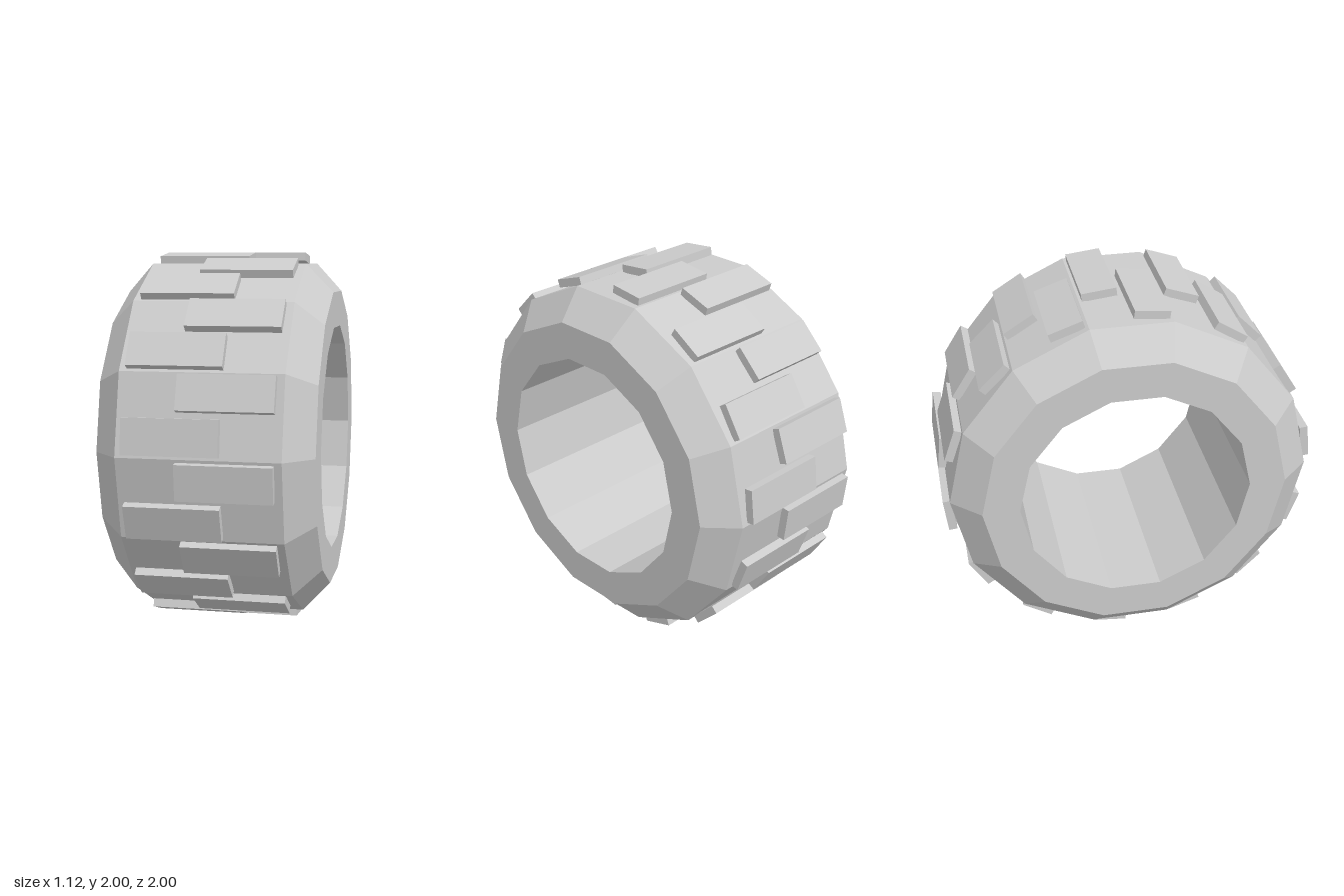
import * as THREE from 'three';

export function createModel() {
  const model = new THREE.Group();
  model.name = 'tyre';
  const rubber = new THREE.MeshStandardMaterial({ color: 0xcccccc, flatShading: true });

  // Ring with chamfered shoulders: closed [radius, width] profile, 14 sides, axle along x
  const profile = [
    [0.615, -0.558], [0.81, -0.558], [0.964, -0.416], [0.964, 0.416],
    [0.81, 0.558], [0.615, 0.558], [0.615, -0.558],
  ].map(([r, w]) => new THREE.Vector2(r, w));
  const ring = new THREE.Mesh(new THREE.LatheGeometry(profile, 14), rubber);
  ring.name = 'tyreRing';
  ring.rotation.z = -Math.PI / 2;
  ring.position.y = 1;
  model.add(ring);

  // Tread blocks, staggered left and right around the rim
  const treads = new THREE.Group();
  treads.name = 'treads';
  treads.position.y = 1;
  const count = 28, thickness = 0.044, outerRadius = 0.996;
  const blockGeometry = new THREE.BoxGeometry(0.488, 0.185, thickness);
  for (let i = 0; i < count; i++) {
    const angle = ((i + 0.5) / count) * Math.PI * 2;
    const r = outerRadius - thickness / 2;
    const block = new THREE.Mesh(blockGeometry, rubber);
    block.name = 'treadBlock';
    block.position.set(i % 2 ? 0.134 : -0.134, r * Math.sin(angle), r * Math.cos(angle));
    block.rotation.x = -angle;
    treads.add(block);
  }
  model.add(treads);
  return model;
}
